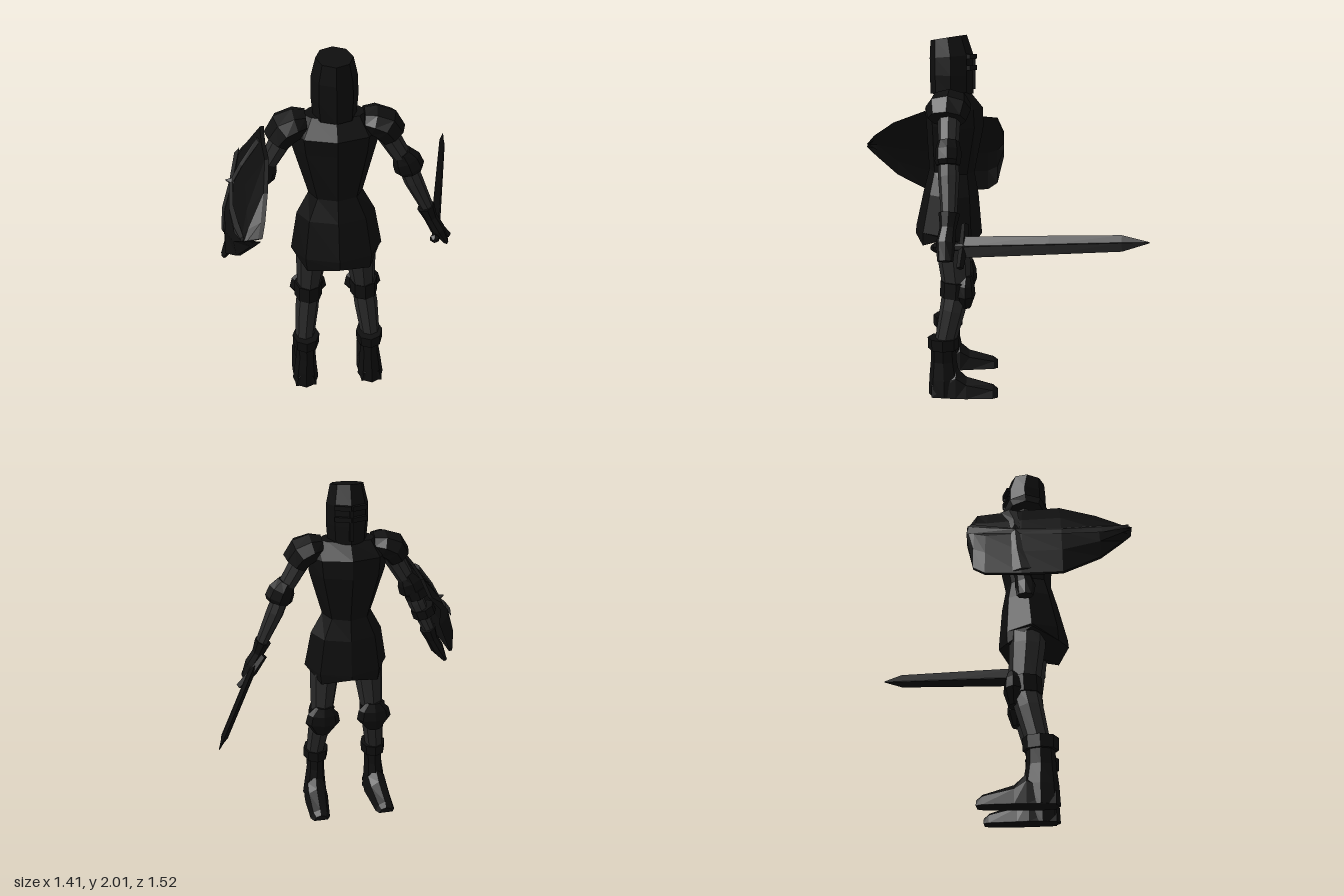
import * as THREE from 'three';

const material = (color) => new THREE.MeshStandardMaterial({ color, flatShading: true, side: THREE.DoubleSide });
const V = (x, y, z) => new THREE.Vector3(x, y, z);

// Join closed rings of points into one capped skin
function loft(rings) {
  const n = rings[0].length, pos = [], idx = [];
  rings.forEach((r) => r.forEach((p) => pos.push(p.x, p.y, p.z)));
  for (let i = 0; i < rings.length - 1; i++) {
    for (let j = 0; j < n; j++) {
      const a = i * n + j, b = i * n + (j + 1) % n;
      idx.push(a, b, a + n, b, b + n, a + n);
    }
  }
  [0, rings.length - 1].forEach((i) => {
    const c = rings[i].reduce((s, p) => s.add(p), V(0, 0, 0)).divideScalar(n);
    const k = pos.length / 3;
    pos.push(c.x, c.y, c.z);
    for (let j = 0; j < n; j++) {
      const a = i * n + j, b = i * n + (j + 1) % n;
      if (i === 0) idx.push(k, b, a); else idx.push(k, a, b);
    }
  });
  const g = new THREE.BufferGeometry();
  g.setAttribute('position', new THREE.Float32BufferAttribute(pos, 3));
  g.setIndex(idx);
  g.computeVertexNormals();
  return g;
}

// Elliptic rings square to a path; stations are [x, y, z, radius across, radius along wide]
function limb(stations, sides = 8, wide = V(0, 0, 1), side = 1) {
  const c = stations.map(([x, y, z]) => V(x * side, y, z));
  return loft(stations.map(([, , , ra, rb = ra], i) => {
    const d = c[Math.min(i + 1, c.length - 1)].clone().sub(c[Math.max(i - 1, 0)]).normalize();
    const b = wide.clone().addScaledVector(d, -wide.dot(d)).normalize();
    const a = b.clone().cross(d);
    return Array.from({ length: sides }, (_, j) => {
      const t = (j / sides) * Math.PI * 2;
      const p = c[i].clone().addScaledVector(a, Math.cos(t) * ra).addScaledVector(b, Math.sin(t) * rb);
      p.y = Math.max(p.y, 0);
      return p;
    });
  }));
}

export function createModel() {
  const root = new THREE.Group();
  root.name = 'knight';
  root.position.x = -0.09;
  const dark = material(0x0e0e0e), light = material(0x272727);
  const add = (name, geometry, mat = dark, parent = root) => {
    const m = new THREE.Mesh(geometry, mat);
    m.name = name;
    parent.add(m);
    return m;
  };

  // Helmet with eye slit and breathing ridge
  add('helmet', limb([[0, 2, 0.225, 0.09, 0.1], [0, 1.9, 0.21, 0.114, 0.12],
    [0, 1.8, 0.21, 0.116, 0.12], [0, 1.7, 0.21, 0.108, 0.118]]));
  add('neck', limb([[0, 1.74, 0.2, 0.075], [0, 1.66, 0.2, 0.1]]));
  [1, -1].forEach((s) => [1.9, 1.84].forEach((y) => {
    const bar = add('visorBar', new THREE.BoxGeometry(0.09, 0.025, 0.025));
    bar.position.set(s * 0.042, y, 0.1);
    bar.rotation.y = -s * 0.38;
  }));
  add('visorRidge', new THREE.BoxGeometry(0.022, 0.17, 0.022)).position.set(0, 1.81, 0.09);

  // Tunic: chest, waist and skirt with a scalloped hem
  const tunic = limb([[0, 1.71, 0.2, 0.165, 0.09], [0, 1.62, 0.2, 0.225, 0.16],
    [0, 1.53, 0.195, 0.215, 0.16], [0, 1.27, 0.215, 0.142, 0.128],
    [0, 1.15, 0.22, 0.207, 0.155], [0, 0.94, 0.235, 0.245, 0.188], [0, 0.87, 0.237, 0.235, 0.19]]);
  const tp = tunic.attributes.position;
  for (let j = 0; j < 8; j += 2) tp.setY(48 + j, j % 4 ? 0.905 : 0.93);
  tunic.computeVertexNormals();
  add('tunic', tunic);

  for (const s of [1, -1]) {
    const arm = new THREE.Group(), leg = new THREE.Group();
    arm.name = s > 0 ? 'swordArm' : 'shieldArm';
    leg.name = s > 0 ? 'swordSideLeg' : 'shieldSideLeg';
    root.add(arm, leg);
    const part = (parent, name, stations, mat = dark, sides = 8, wide) =>
      add(name, limb(stations, sides, wide, s), mat, parent);

    // Arm with shoulder plate, elbow guard and gauntlet
    part(arm, 'sleeve', [[0.2, 1.67, 0.21, 0.06], [0.27, 1.57, 0.21, 0.056, 0.06],
      [0.36, 1.42, 0.21, 0.047, 0.052], [0.41, 1.3, 0.205, 0.05, 0.055], [0.5, 1.11, 0.2, 0.034, 0.04]], light);
    part(arm, 'shoulderPlate', [[0.14, 1.67, 0.21, 0.06, 0.08], [0.19, 1.665, 0.21, 0.075, 0.11],
      [0.25, 1.64, 0.215, 0.085, 0.12], [0.29, 1.585, 0.22, 0.075, 0.1]]);
    part(arm, 'elbowGuard', [[0.34, 1.475, 0.21, 0.048, 0.056], [0.365, 1.43, 0.21, 0.075, 0.068],
      [0.385, 1.38, 0.21, 0.08, 0.068], [0.392, 1.36, 0.21, 0.066, 0.06]]);
    part(arm, 'gauntlet', [[0.485, 1.13, 0.2, 0.048, 0.055], [0.515, 1.06, 0.205, 0.036, 0.042],
      [0.555, 0.99, 0.215, 0.04, 0.05], [0.605, 0.91, 0.215, 0.016, 0.04]]);

    // Leg with knee guard and boot
    part(leg, 'trouserLeg', [[0.125, 0.96, 0.21, 0.09, 0.1], [0.135, 0.85, 0.205, 0.085, 0.095],
      [0.155, 0.62, 0.185, 0.064, 0.08], [0.17, 0.5, 0.21, 0.066, 0.072], [0.19, 0.32, 0.25, 0.055, 0.06]], light);
    part(leg, 'kneeStrap', [[0.155, 0.665, 0.185, 0.078, 0.092], [0.158, 0.575, 0.188, 0.078, 0.092]]);
    part(leg, 'kneePlate', [[0.153, 0.7, 0.13, 0.045, 0.03], [0.155, 0.65, 0.135, 0.092, 0.05],
      [0.157, 0.59, 0.135, 0.105, 0.055], [0.16, 0.515, 0.135, 0.045, 0.03]]);
    part(leg, 'bootCuff', [[0.183, 0.34, 0.262, 0.077, 0.09], [0.185, 0.275, 0.262, 0.075, 0.088]]);
    part(leg, 'bootShaft', [[0.185, 0.3, 0.262, 0.058, 0.07], [0.187, 0.2, 0.262, 0.055, 0.074],
      [0.192, 0.1, 0.258, 0.065, 0.088], [0.195, 0, 0.258, 0.076, 0.092]]);
    part(leg, 'bootFoot', [[0.195, 0, 0.33, 0.09, 0.06], [0.195, 0, 0.19, 0.16, 0.075],
      [0.2, 0, 0.13, 0.105, 0.072], [0.205, 0, -0.02, 0.06, 0.06], [0.205, 0, -0.048, 0.035, 0.042]],
    dark, 8, V(1, 0, 0));
  }

  // Sword held level, blade on edge
  const sword = new THREE.Group();
  sword.name = 'sword';
  root.add(sword);
  const pommel = V(0.53, 0.96, 0.27), tip = V(0.79, 1.06, -0.76), edge = V(0.45, -0.87, 0);
  const along = (rows) => rows.map(([t, a, b]) => [...pommel.clone().lerp(tip, t).toArray(), a, b]);
  add('blade', limb(along([[0.14, 0.018, 0.055], [0.55, 0.016, 0.047], [0.88, 0.014, 0.04], [1, 0.002, 0.003]]), 4, edge), dark, sword);
  add('bladeRidge', limb(along([[0.14, 0.021, 0.012], [0.88, 0.017, 0.008], [0.96, 0.004, 0.003]]), 4, edge), light, sword);
  add('grip', limb(along([[0, 0.016, 0.016], [0.15, 0.02, 0.02]]), 6, edge), light, sword);
  add('pommel', limb(along([[-0.02, 0.012, 0.012], [0, 0.028, 0.028], [0.025, 0.015, 0.015]]), 6, edge), dark, sword);
  add('crossGuard', limb([[0.49, 1.075, 0.12, 0.018], [0.555, 0.98, 0.125, 0.024], [0.64, 0.885, 0.14, 0.018]], 4), dark, sword);

  // Curved shield: columns are [z, lower y, upper y], t runs -1..1 up each column
  const shield = new THREE.Group();
  shield.name = 'shield';
  root.add(shield);
  const surface = (z, y, t, lift = 0) => V(
    -0.465 + (y - 1.33) * 0.44 - 0.06 * (1 - t * t) + 0.05 * ((z - 0.17) / 0.59) ** 2 - lift, y, z);
  const columns = [[-0.08, 1.28, 1.44], [-0.04, 1.1, 1.53], [0.02, 1.055, 1.535], [0.2, 1.04, 1.555],
    [0.4, 1.045, 1.57], [0.59, 1.16, 1.5], [0.71, 1.29, 1.42], [0.76, 1.35, 1.365]];
  const steps = [-1, -0.5, 0, 0.5, 1];
  add('shieldBoard', loft(columns.map(([z, lo, hi]) => {
    const at = (t, lift) => surface(z, (lo + hi) / 2 + t * (hi - lo) / 2, t, lift);
    return [...steps.map((t) => at(t, 0)), ...steps.slice().reverse().map((t) => at(t, -0.02))];
  })), dark, shield);

  // Raised flared bands over the shield face
  const band = (rows) => rows.map(([z, y, t, w]) => [...surface(z, y, t, 0.004).toArray(), 0.012, w]);
  add('longBand', limb(band([[-0.07, 1.36, 0, 0.045], [0.17, 1.32, 0, 0.022], [0.4, 1.31, 0, 0.025],
    [0.6, 1.33, 0, 0.03], [0.74, 1.357, 0, 0.012]]), 4, V(0.4, 0.9, 0)), light, shield);
  add('crossBand', limb(band([[0.13, 1.54, 0.95, 0.045], [0.16, 1.42, 0.5, 0.028], [0.17, 1.31, 0, 0.022],
    [0.18, 1.18, -0.5, 0.028], [0.2, 1.06, -0.95, 0.045]]), 4), light, shield);
  add('shieldBoss', limb([[-0.5, 1.32, 0.17, 0.035], [-0.56, 1.34, 0.17, 0.004]], 4), light, shield);

  // Straps tying the shield to the forearm
  [[0.395, 1.36], [0.445, 1.24]].forEach(([x, y]) => {
    add('shieldStrap', limb([[-x, y + 0.025, 0.205, 0.07, 0.068], [-x - 0.02, y - 0.025, 0.205, 0.07, 0.068]]), dark, shield);
  });
  return root;
}
